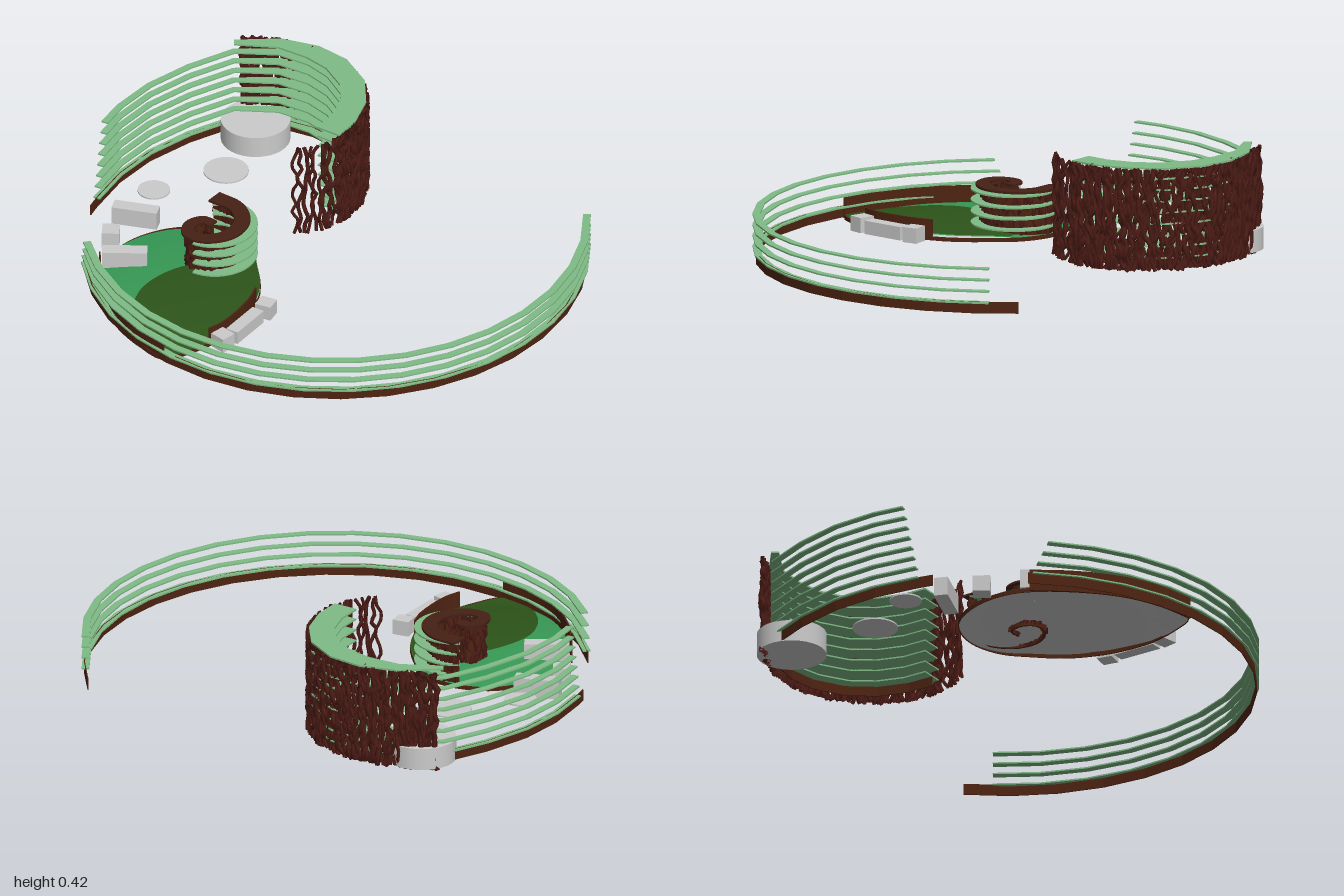
import * as THREE from 'three';
import { mergeGeometries } from 'three/addons/utils/BufferGeometryUtils.js';

const paint = (color, extra = {}) => new THREE.MeshStandardMaterial({ color, side: THREE.DoubleSide, ...extra });
const GREY = paint(0xcccccc, { flatShading: true });
const SLAT = paint(0x80bb86, { flatShading: true });
const BOARD = paint(0x4f2412, { flatShading: true });
const CAP = paint(0x452014, { flatShading: true });
const BARK = paint(0x4d1c16);

let seed = 7;
const rand = () => (seed = (seed * 16807) % 2147483647) / 2147483647;

const curve = (pts, closed = false) =>
  new THREE.CatmullRomCurve3(pts.map(([x, z]) => new THREE.Vector3(x, 0, z)), closed);

// points of an arc in the ground plane, angle measured from +x towards +z
function arc(cx, cz, r, a0, a1, n) {
  return Array.from({ length: n + 1 }, (_, i) => {
    const a = THREE.MathUtils.degToRad(a0 + (a1 - a0) * i / n);
    return new THREE.Vector3(cx + r * Math.cos(a), 0, cz + r * Math.sin(a));
  });
}

// sweeps an upright rectangle, of width w(t), along points on the ground
function band(pts, w, y0, y1) {
  const n = pts.length, pos = [], idx = [];
  pts.forEach((p, i) => {
    const d = pts[Math.min(i + 1, n - 1)].clone().sub(pts[Math.max(i - 1, 0)]).normalize();
    const h = (typeof w === 'function' ? w(i / (n - 1)) : w) / 2;
    for (const [s, y] of [[-1, y0], [1, y0], [1, y1], [-1, y1]]) pos.push(p.x - d.z * h * s, y, p.z + d.x * h * s);
  });
  for (let i = 0; i < n - 1; i++) for (let j = 0; j < 4; j++) {
    const a = i * 4 + j, b = i * 4 + (j + 1) % 4;
    idx.push(a, a + 4, b, b, a + 4, b + 4);
  }
  const e = (n - 1) * 4;
  idx.push(0, 1, 2, 0, 2, 3, e, e + 2, e + 1, e, e + 3, e + 2);
  const g = new THREE.BufferGeometry();
  g.setAttribute('position', new THREE.Float32BufferAttribute(pos, 3));
  g.setIndex(idx);
  g.computeVertexNormals();
  return g;
}

// filled outline, shaped into a shallow mound by the height rule
function mound(outline, height) {
  const n = outline.length, rings = 10, pos = [], idx = [];
  const c = outline.reduce((s, p) => s.add(p), new THREE.Vector3()).divideScalar(n);
  for (let r = 0; r <= rings; r++) for (const p of outline) {
    const q = c.clone().lerp(p, r / rings);
    pos.push(q.x, height(q.x, q.z), q.z);
  }
  for (let r = 0; r < rings; r++) for (let i = 0; i < n; i++) {
    const a = r * n + i, b = r * n + (i + 1) % n;
    idx.push(a, b, a + n, b, b + n, a + n);
  }
  const g = new THREE.BufferGeometry();
  g.setAttribute('position', new THREE.Float32BufferAttribute(pos, 3));
  g.setIndex(idx);
  g.computeVertexNormals();
  return g;
}

// wavy upright strands standing along a ground curve between t0 and t1
function strands(path, t0, t1, count, y0, y1, radius, steps) {
  const parts = [];
  for (let k = 0; k < count; k++) {
    const t = t0 + (t1 - t0) * (k + 0.5) / count;
    const p = path.getPointAt(t), d = path.getTangentAt(t), pts = [];
    const low = y0 + rand() * 0.012, high = y1 - rand() * 0.012;
    for (let i = 0; i <= steps; i++) {
      const along = (rand() - 0.5) * 0.028, out = (rand() - 0.5) * 0.018;
      pts.push(new THREE.Vector3(p.x + d.x * along - d.z * out, low + (high - low) * i / steps, p.z + d.z * along + d.x * out));
    }
    parts.push(new THREE.TubeGeometry(new THREE.CatmullRomCurve3(pts), steps * 2, radius * (0.75 + rand() * 0.5), 5));
  }
  return mergeGeometries(parts);
}

export function createModel() {
  const model = new THREE.Group();
  const add = (name, geometry, material, parent = model) => {
    const m = new THREE.Mesh(geometry, material);
    m.name = name;
    parent.add(m);
    return m;
  };
  const T = 0.006;
  const level = i => 0.06 + i * 0.0447;

  // large open ring: a low board and slats above it
  const ring = new THREE.Group();
  ring.name = 'frontFence';
  model.add(ring);
  add('frontBoard', band(arc(0.06, 0, 0.975, 27, 211, 17), 0.004, 0.015, 0.06), BOARD, ring);
  for (let i = 0; i < 4; i++)
    add('frontSlat', band(arc(0.06, 0, 0.972, 33.75, 210 - i * 1.2, 16), 0.03, level(i) - T, level(i)), SLAT, ring);

  // back fence, curling round into the tall shelter
  const back = new THREE.Group();
  back.name = 'backFence';
  model.add(back);
  const backPath = [[-0.49, -0.815], [-0.32, -0.9], [-0.14, -0.952], [0.06, -0.967], [0.26, -0.952], [0.4, -0.845],
    [0.47, -0.72], [0.495, -0.6], [0.47, -0.46], [0.4, -0.355], [0.3, -0.28], [0.2, -0.243]].map(([x, z]) => new THREE.Vector3(x, 0, z));
  const widen = t => 0.028 + 0.07 * THREE.MathUtils.smoothstep(t, 0.35, 0.7);
  add('backBoard', band([new THREE.Vector3(-0.54, 0, -0.785), ...backPath], 0.004, 0.015, 0.06), BOARD, back);
  for (let i = 0; i < 8; i++) {
    const pts = backPath.map(p => p.clone());
    pts[0].lerp(pts[1], i * 0.05);
    add('backSlat', band(pts, widen, level(i) - T, level(i)), SLAT, back);
  }
  add('shelterTopSlat', band(backPath.slice(4), t => 0.03 + 0.07 * Math.min(1, t * 3), 0.407, 0.414), SLAT, back);

  // bark screen: dense round the shelter, sparse at its free end
  const barkPath = curve([[0.31, -0.975], [0.415, -0.87], [0.495, -0.74], [0.53, -0.58], [0.495, -0.42],
    [0.415, -0.3], [0.31, -0.225], [0.185, -0.19], [0.08, -0.2], [0.025, -0.24]]);
  add('denseBark', strands(barkPath, 0, 0.83, 120, 0.004, 0.412, 0.009, 12), BARK);
  add('sparseBark', strands(barkPath, 0.83, 1, 10, 0.004, 0.41, 0.008, 12), BARK);

  // leaf shaped mound in two greens
  const leaf = new THREE.Group();
  leaf.name = 'leafMound';
  model.add(leaf);
  const leafCurve = curve([[-0.476, -0.54], [-0.61, -0.52], [-0.71, -0.46], [-0.82, -0.31], [-0.895, -0.13], [-0.91, 0.03],
    [-0.888, 0.185], [-0.77, 0.21], [-0.61, 0.2], [-0.45, 0.135], [-0.32, 0.03], [-0.24, -0.1], [-0.195, -0.2],
    [-0.195, -0.32], [-0.24, -0.42], [-0.33, -0.505]], true);
  const lobeCurve = curve([[-0.53, -0.25], [-0.69, -0.225], [-0.79, -0.155], [-0.87, -0.05], [-0.908, 0.05],
    [-0.888, 0.185], [-0.77, 0.21], [-0.61, 0.2], [-0.45, 0.135], [-0.32, 0.03], [-0.24, -0.1], [-0.21, -0.17], [-0.36, -0.21]], true);
  const h = lift => (x, z) => lift + 0.03 * Math.max(0, 1 - ((x + 0.55) / 0.4) ** 2 - ((z + 0.16) / 0.42) ** 2);
  // both outlines run so that upward is the front of each face
  const outline = (c, n) => c.getPoints(n).slice(0, n);
  add('leafUnderside', mound(outline(leafCurve, 64), h(0.014)), paint(0xcccccc), leaf);
  add('lightLeaf', mound(outline(leafCurve, 64), h(0.022)), paint(0x379a56), leaf);
  add('darkLeaf', mound(outline(lobeCurve, 64), h(0.026)), paint(0x2d5419), leaf);
  add('leafEdge', band(leafCurve.getPoints(64), 0.004, 0.012, 0.028), BOARD, leaf);
  const sideRim = curve([[-0.73, -0.46], [-0.825, -0.31], [-0.897, -0.13], [-0.912, 0.03], [-0.89, 0.19]]);
  const frontRim = curve([[-0.69, 0.208], [-0.61, 0.2], [-0.45, 0.135], [-0.38, 0.085]]);
  add('sideRim', band(sideRim.getPoints(16), 0.006, 0.012, 0.1), BOARD, leaf);
  add('frontRim', band(frontRim.getPoints(12), 0.006, 0.012, 0.095), BOARD, leaf);

  // spiral wall with a broad cap and outer shelves
  const spiral = new THREE.Group();
  spiral.name = 'spiral';
  model.add(spiral);
  const spiralPath = curve([[-0.24, -0.385], [-0.212, -0.28], [-0.25, -0.185], [-0.34, -0.14], [-0.435, -0.17],
    [-0.468, -0.235], [-0.425, -0.285], [-0.368, -0.28], [-0.352, -0.235]]);
  const turn = spiralPath.getSpacedPoints(48);
  add('spiralCap', band(turn, t => 0.07 - 0.025 * t, 0.197, 0.206), CAP, spiral);
  add('spiralWall', band(turn, 0.008, 0.02, 0.197), BOARD, spiral);
  add('spiralBark', strands(spiralPath, 0.01, 0.99, 60, 0.02, 0.2, 0.007, 6), BARK, spiral);
  for (let i = 0; i < 4; i++)
    add('spiralShelf', band(arc(-0.335, -0.25, 0.145, -57, 157, 28), 0.045, level(i) - T, level(i)), SLAT, spiral);

  // round platforms: x, z, radius, bottom, top
  for (const [x, z, r, y0, y1] of [[0.29, -0.85, 0.135, 0.012, 0.1], [0.01, -0.655, 0.088, 0.074, 0.08], [-0.283, -0.725, 0.063, 0.06, 0.066]])
    add('roundPlatform', new THREE.CylinderGeometry(r, r, y1 - y0, 32), paint(0xcccccc)).position.set(x, (y0 + y1) / 2, z);

  // benches and stools: x, z, length, depth, bottom, top, run in x and z
  for (const [name, x, z, l, d, y0, y1, dx, dz] of [
    ['backBench', -0.43, -0.64, 0.18, 0.055, 0.015, 0.09, 22, 26],
    ['sideBench', -0.647, -0.41, 0.175, 0.055, 0.03, 0.105, 26, 20],
    ['frontBench', -0.52, 0.21, 0.18, 0.052, 0.015, 0.068, 33, -12],
    ['backStool', -0.587, -0.585, 0.068, 0.068, 0.015, 0.08, 10, 8],
    ['frontStool', -0.65, 0.245, 0.062, 0.066, 0.015, 0.075, 10, -1.5],
    ['frontStool', -0.388, 0.165, 0.062, 0.066, 0.015, 0.075, 10, -5.5],
  ]) {
    const m = add(name, new THREE.BoxGeometry(l, y1 - y0, d), GREY);
    m.position.set(x, (y0 + y1) / 2, z);
    m.rotation.y = Math.atan2(-dz, dx);
  }
  return model;
}
